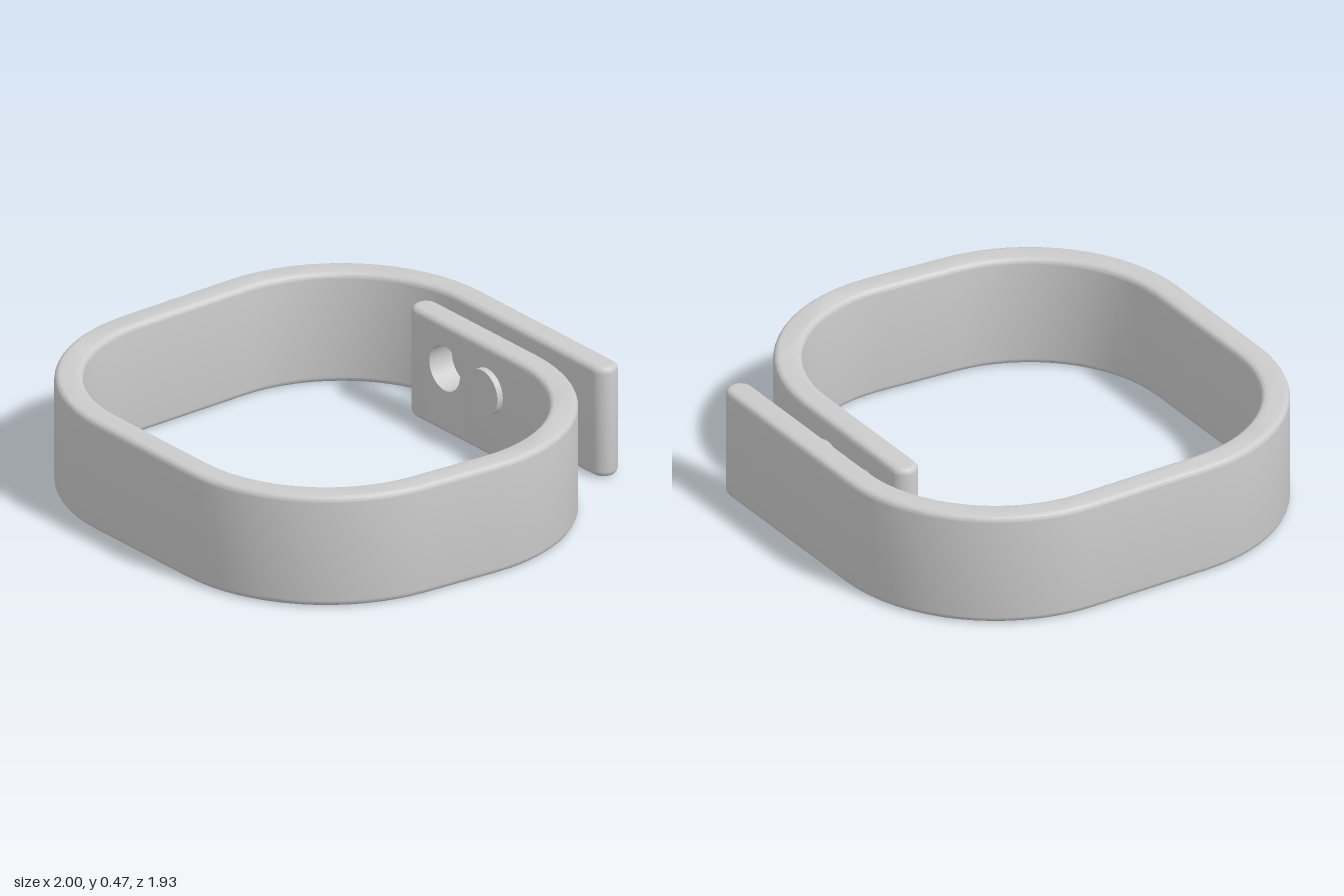
import * as THREE from 'three';
import { toCreasedNormals } from 'three/addons/utils/BufferGeometryUtils.js';

const HEIGHT = 0.47, EDGE = 0.025;          // band height and edge rounding
const OUTER = 0.7, THICK = 0.113, INNER = OUTER - THICK;
const HOLE = { x: -0.14, y: 0.28, r: 0.095, half: 0.12 };
const BACK = 0.77, TIP = THICK / 2;         // depth of the inner strap end, tip radius

// Plan outline of the open band; shape y points to the back
function bandOutline() {
  const q = Math.PI / 2, slant = Math.atan2(0.03, 0.335);
  const corners = [                          // centre x, y, start and end angle
    [-0.3, 0.27, q, 2 * q],
    [-0.3, -0.265, 2 * q, 3 * q],
    [0.27, -0.265, -q, -slant],
    [0.3, 0.07, -slant, q],
  ];
  const x0 = HOLE.x - HOLE.half, x1 = HOLE.x + HOLE.half;
  const s = new THREE.Shape();
  s.moveTo(0.524, 0.97);
  for (const [x, y, a, b] of corners) s.absarc(x, y, OUTER, a, b, false);
  s.lineTo(x1, BACK);
  s.lineTo(x0, BACK);
  s.absarc(-0.324, BACK - TIP, TIP, q, 3 * q, false);
  s.lineTo(x0, BACK - THICK);
  s.lineTo(x1, BACK - THICK);
  for (const [x, y, a, b] of corners.reverse()) s.absarc(x, y, INNER, b, a, true);
  s.absarc(0.524, 0.97 - TIP, TIP, -q, q, false);
  return s;
}

// Drop the flat wall triangles where the holed panel goes
function cutWindow(geo) {
  const p = geo.getAttribute('position'), kept = [];
  const tri = new THREE.Triangle(), n = new THREE.Vector3(), c = new THREE.Vector3();
  for (let i = 0; i < p.count; i += 3) {
    tri.setFromAttributeAndIndices(p, i, i + 1, i + 2);
    tri.getNormal(n);
    tri.getMidpoint(c);
    const inWindow = Math.abs(c.x - HOLE.x) < HOLE.half && c.z < -0.6 && c.z > -0.8;
    if (inWindow && Math.abs(n.z) > 0.995) continue;
    for (const v of [tri.a, tri.b, tri.c]) kept.push(v.x, v.y, v.z);
  }
  const out = new THREE.BufferGeometry();
  out.setAttribute('position', new THREE.Float32BufferAttribute(kept, 3));
  return out;
}

export function createModel() {
  const group = new THREE.Group();
  const material = new THREE.MeshStandardMaterial({ color: 0xcccccc });
  const add = (name, geo) => {
    const mesh = new THREE.Mesh(geo, material);
    mesh.name = name;
    group.add(mesh);
    return mesh;
  };

  // Band with overlapping ends and rounded edges
  const band = new THREE.ExtrudeGeometry(bandOutline(), {
    depth: HEIGHT - 2 * EDGE, curveSegments: 8, bevelEnabled: true,
    bevelThickness: EDGE, bevelSize: EDGE, bevelOffset: -EDGE, bevelSegments: 6,
  });
  band.rotateX(-Math.PI / 2).translate(0, EDGE, 0);
  add('band', toCreasedNormals(cutWindow(band), 0.5));

  // Panel of the inner strap end, pierced by the adjustment hole
  const panel = new THREE.Shape();
  const x0 = HOLE.x - HOLE.half, x1 = HOLE.x + HOLE.half;
  panel.moveTo(x0, EDGE);
  panel.lineTo(x1, EDGE);
  panel.lineTo(x1, HEIGHT - EDGE);
  panel.lineTo(x0, HEIGHT - EDGE);
  panel.closePath();
  panel.holes.push(new THREE.Path().absarc(HOLE.x, HOLE.y, HOLE.r, 0, Math.PI * 2, true));
  const panelGeo = new THREE.ExtrudeGeometry(panel, { depth: THICK, bevelEnabled: false, curveSegments: 20 });
  panelGeo.translate(0, 0, -BACK);
  add('holePanel', toCreasedNormals(panelGeo, 0.5));

  // Peg from the outer strap end through the inner one
  const peg = new THREE.CylinderGeometry(0.095, 0.095, 0.26, 40);
  peg.rotateX(Math.PI / 2);
  add('peg', peg).position.set(0.125, HOLE.y, -0.76);

  return group;
}
